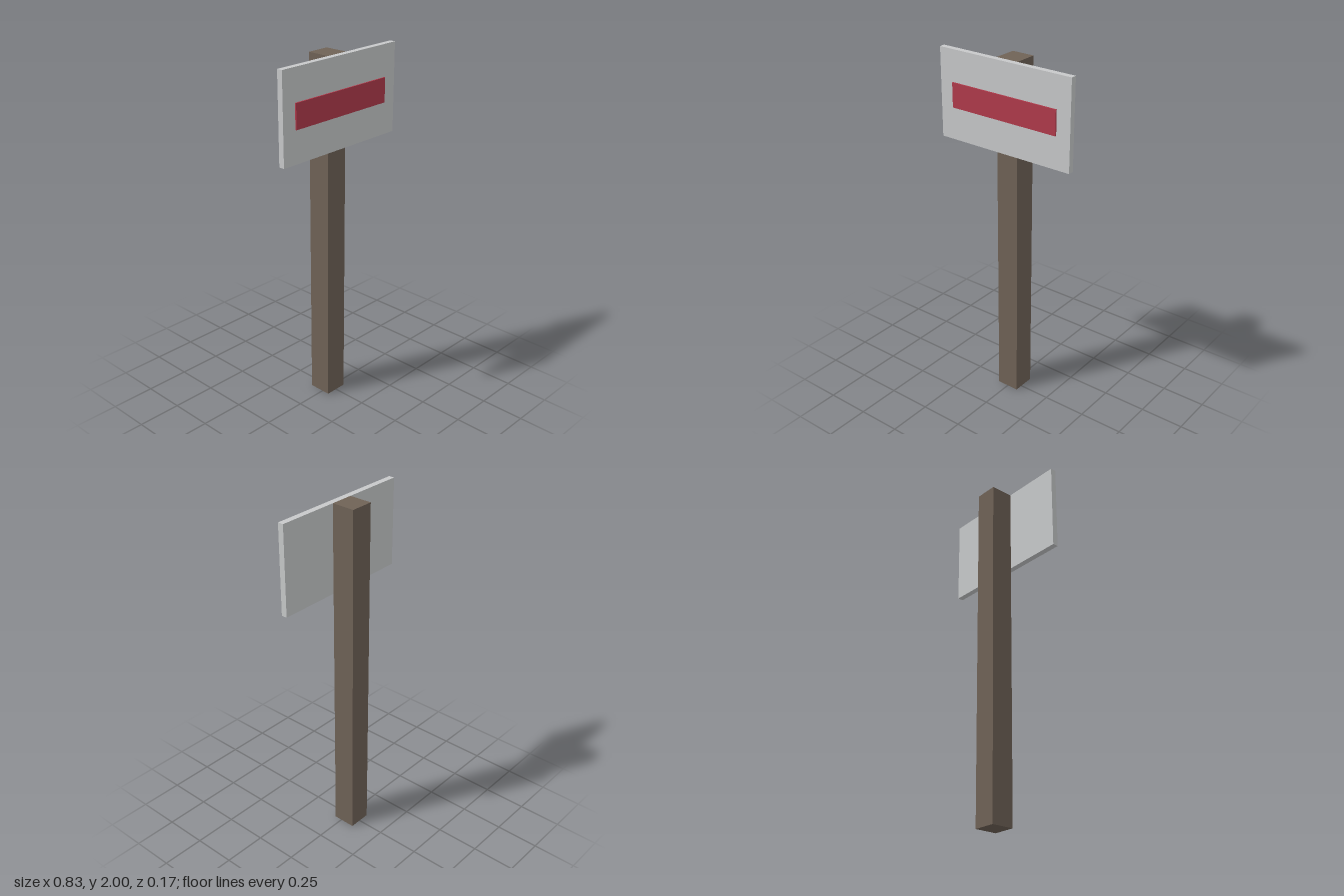
import * as THREE from 'three';

export function createModel() {
  const model = new THREE.Group();
  model.name = 'signpost';

  const material = (name, color) => {
    const m = new THREE.MeshStandardMaterial({ color });
    m.name = name;
    return m;
  };
  const wood = material('brown wood', 0x6f6256);
  const panel = material('light grey panel', 0xc7c9ca);
  const red = material('red paint', 0xb03a4b);

  // Box centred on x, given by its y and z limits
  const addBox = (name, mat, width, [y0, y1], [z0, z1]) => {
    const mesh = new THREE.Mesh(new THREE.BoxGeometry(width, y1 - y0, z1 - z0), mat);
    mesh.name = name;
    mesh.position.set(0, (y0 + y1) / 2, (z0 + z1) / 2);
    model.add(mesh);
  };

  // Square post, full height
  addBox('post', wood, 0.132, [0, 2], [-0.087, 0.046]);
  // Board on the front of the post
  addBox('signBoard', panel, 0.83, [1.503, 2], [0.046, 0.079]);
  // Thin raised stripe on the board
  addBox('stripe', red, 0.664, [1.685, 1.823], [0.079, 0.087]);

  return model;
}
